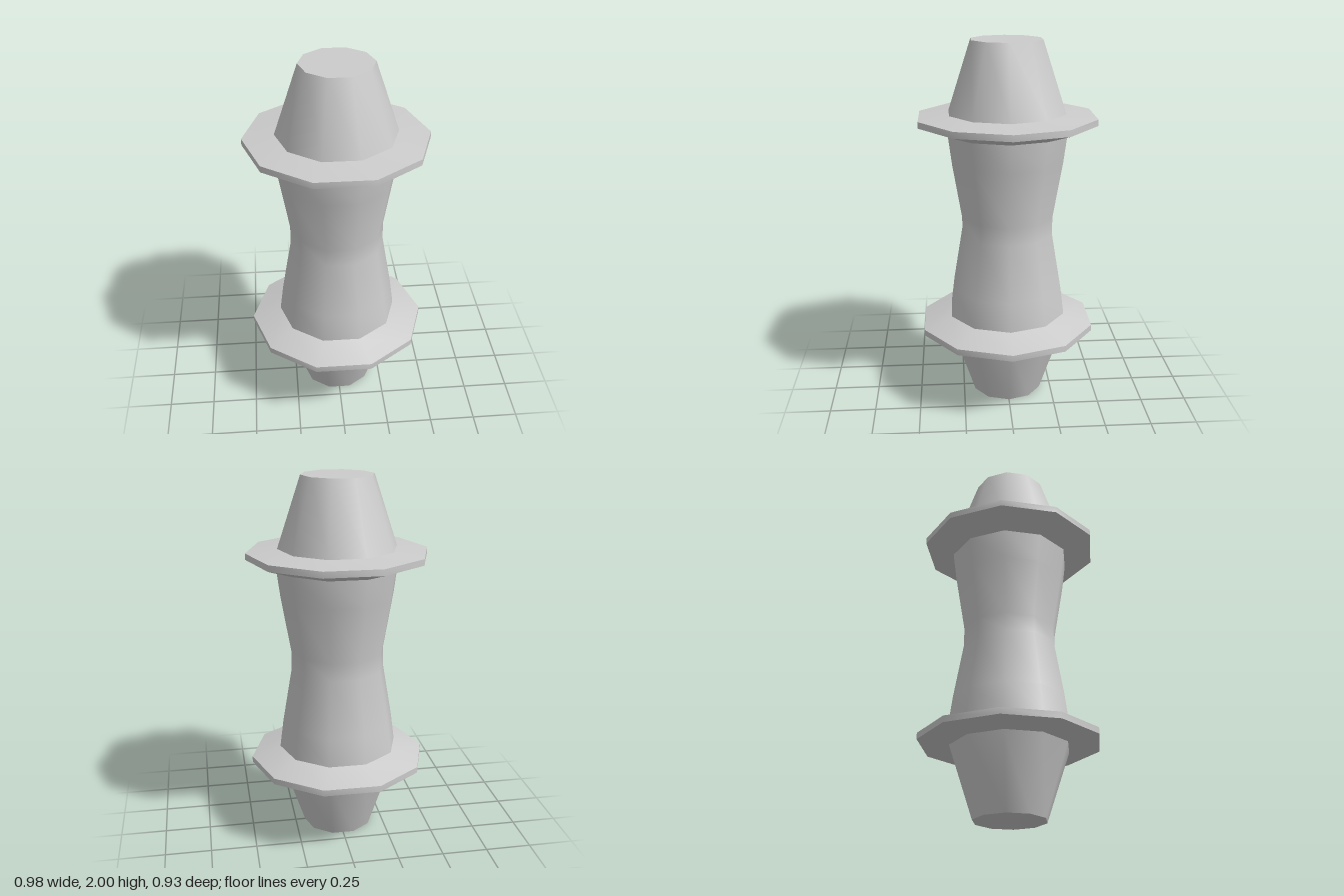
import * as THREE from 'three';
import { toCreasedNormals } from 'three/addons/utils/BufferGeometryUtils.js';

const SIDES = 10;
const material = new THREE.MeshStandardMaterial({ color: 0xcccccc });

// Ten-sided turned part from [radius, height] pairs, listed from bottom to top
function turned(name, profile) {
  const points = profile.map(([r, y]) => new THREE.Vector2(r, y));
  const lathe = new THREE.LatheGeometry(points, SIDES, Math.PI / 2);
  const mesh = new THREE.Mesh(toCreasedNormals(lathe, 0.7), material);
  mesh.name = name;
  return mesh;
}

// Mirror a profile about mid-height, keeping the bottom-to-top order
const flip = (profile) => profile.map(([r, y]) => [r, 2 - y]).reverse();

export function createModel() {
  const group = new THREE.Group();
  group.name = 'spool';

  // Tapered end with a closed flat cap
  const end = [[0, 0], [0.195, 0], [0.322, 0.38]];
  // Wide thin collar, steeper on the side facing the body
  const collar = [[0.322, 0.38], [0.49, 0.398], [0.49, 0.432], [0.33, 0.486]];
  // Waisted body between the collars
  const halfBody = [[0.33, 0.486], [0.31, 0.64], [0.257, 0.95]];

  group.add(
    turned('lowerEnd', end),
    turned('lowerCollar', collar),
    turned('body', [...halfBody, ...flip(halfBody)]),
    turned('upperCollar', flip(collar)),
    turned('upperEnd', flip(end)),
  );
  return group;
}
